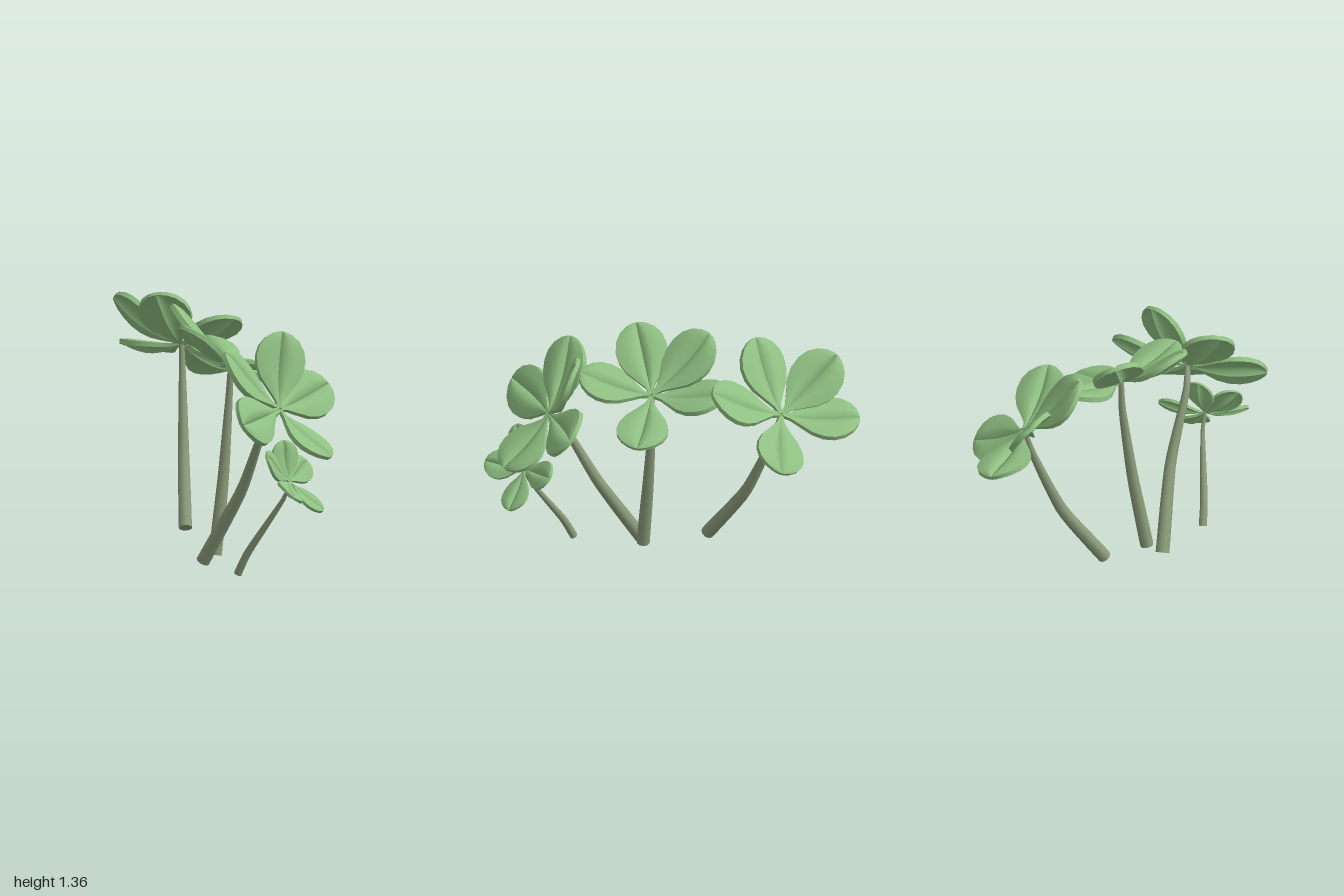
import * as THREE from 'three';
import { toCreasedNormals } from 'three/addons/utils/BufferGeometryUtils.js';

const leafGreen = new THREE.MeshStandardMaterial({ color: 0x8fbf82 });
leafGreen.name = 'leaf green';
const stemGreen = new THREE.MeshStandardMaterial({ color: 0x8c9c7a });
stemGreen.name = 'stem green';

// Leaf outline: [position along the leaf, share of the full half width]
const OUTLINE = [
  [0, 0], [0.02, 0.08], [0.12, 0.15], [0.24, 0.42], [0.38, 0.76], [0.52, 0.95],
  [0.66, 1], [0.79, 0.91], [0.9, 0.68], [0.97, 0.38], [1, 0.12], [1, 0],
];
const ACROSS = [0, 0.12, 0.35, 0.6, 0.82, 1];
const SAG = 0.085;

// One domed half of a leaf; the two halves meet in a sunken midrib
function halfLeaf(side) {
  const pos = [], index = [], n = ACROSS.length * 2;
  const ring = [...ACROSS.map(u => [u, 0]), ...[...ACROSS].reverse().map(u => [u, 1])];
  for (const [t, w] of OUTLINE) {
    const bend = -SAG * Math.sin(Math.PI * t);
    const thick = w === 0 ? 0 : 0.045 + 0.02 * w;
    for (const [u, under] of ring) {
      const dome = w * 0.085 * Math.sin(Math.PI * 0.78 * Math.sqrt(u));
      pos.push(side * u * w, t, bend + dome + thick * (0.4 - under));
    }
  }
  for (let i = 0; i < OUTLINE.length - 1; i++) {
    for (let j = 0; j < n - 1; j++) {
      const a = i * n + j, b = a + 1, c = b + n, d = a + n;
      if (side > 0) index.push(a, b, c, a, c, d);
      else index.push(a, c, b, a, d, c);
    }
  }
  const g = new THREE.BufferGeometry();
  g.setAttribute('position', new THREE.Float32BufferAttribute(pos, 3));
  g.setIndex(index);
  return g;
}

// A leaf from the crown to its tip, facing as the crown does and rolled about its midrib
function makeLeaf(base, tip, facing, roll, halfWidth) {
  const axis = tip.clone().sub(base);
  const length = axis.length();
  axis.normalize();
  const up = facing.clone().addScaledVector(axis, -facing.dot(axis)).normalize();
  up.applyAxisAngle(axis, roll);
  const right = new THREE.Vector3().crossVectors(axis, up);
  const leaf = new THREE.Group();
  leaf.name = 'leaf';
  for (const side of [1, -1]) {
    const g = halfLeaf(side).scale(halfWidth, length, length);
    const half = new THREE.Mesh(toCreasedNormals(g, 0.8), leafGreen);
    half.name = side > 0 ? 'leafHalfA' : 'leafHalfB';
    leaf.add(half);
  }
  leaf.quaternion.setFromRotationMatrix(new THREE.Matrix4().makeBasis(right, axis, up));
  leaf.position.copy(base);
  return leaf;
}

// A bent stem, tapering towards the crown, with a cut lower end
function makeStem(points, radius) {
  const segs = 16, sides = 10;
  const curve = new THREE.CatmullRomCurve3(points, false, 'catmullrom', 0.3);
  const g = new THREE.TubeGeometry(curve, segs, radius, sides, false);
  const p = g.attributes.position, v = new THREE.Vector3();
  for (let i = 0; i < p.count; i++) {
    const t = Math.floor(i / (sides + 1)) / segs;
    const c = curve.getPointAt(t);
    v.fromBufferAttribute(p, i).sub(c).multiplyScalar(1 - 0.61 * t ** 1.6).add(c);
    p.setXYZ(i, v.x, v.y, v.z);
  }
  const stem = new THREE.Group();
  stem.name = 'stem';
  const tube = new THREE.Mesh(g, stemGreen);
  tube.name = 'stemTube';
  const cap = new THREE.Mesh(new THREE.CircleGeometry(radius, sides), stemGreen);
  cap.name = 'stemEnd';
  cap.position.copy(points[0]);
  cap.quaternion.setFromUnitVectors(new THREE.Vector3(0, 0, 1), curve.getTangentAt(0).negate());
  stem.add(tube, cap);
  return stem;
}

// Each sprig: stem radius, crown facing, stem path ending at the crown, leaf tips with optional roll
const SPRIGS = [
  {
    name: 'backSprig', radius: 0.036, facing: [0.5, 0.8, -0.4],
    stem: [[-0.17, 0.14, -0.17], [-0.08, 0.49, -0.395], [-0.02, 0.86, -0.545], [0, 1.04, -0.6]],
    tips: [[-0.14, 0.98, -0.99, -0.37], [-0.28, 1.27, -0.84], [-0.23, 1.35, -0.41, 0.26],
      [0.3, 0.87, -0.66, -0.27], [0.15, 1.22, -0.26, 0.38]],
  },
  {
    name: 'middleSprig', radius: 0.035, facing: [0.45, 0.9, 0],
    stem: [[-0.15, 0.05, 0.17], [-0.085, 0.46, 0.13], [-0.04, 0.86, 0.1], [-0.03, 1.05, 0.1]],
    tips: [[0, 1.12, -0.31, -0.34], [-0.25, 1.33, -0.17], [-0.35, 1.28, 0.25],
      [0.31, 0.93, 0.11], [-0.06, 1.12, 0.49, 0.33]],
  },
  {
    name: 'frontSprig', radius: 0.036, facing: [0.35, 0.5, 0.75],
    stem: [[-0.235, 0.026, 0.2], [-0.1, 0.43, 0.4], [-0.05, 0.78, 0.57], [0.01, 0.89, 0.64]],
    tips: [[0.1, 1.27, 0.47, -0.28], [-0.28, 1.2, 0.58, 0.33], [0.37, 0.97, 0.45, -0.17],
      [0.21, 0.65, 0.84, -0.31], [-0.32, 0.87, 0.9]],
  },
  {
    name: 'smallSprig', radius: 0.021, facing: [0.35, 0.6, 0.6],
    stem: [[-0.19, 0.014, 0.55], [-0.15, 0.14, 0.6], [-0.01, 0.43, 0.735], [0.01, 0.53, 0.775]],
    tips: [[0.18, 0.37, 0.82, -0.22], [-0.08, 0.49, 1], [-0.16, 0.69, 0.85],
      [0, 0.74, 0.71, -0.23], [0.18, 0.6, 0.6]],
  },
];

export function createModel() {
  const model = new THREE.Group();
  model.name = 'leafSprigs';
  for (const s of SPRIGS) {
    const sprig = new THREE.Group();
    sprig.name = s.name;
    const path = s.stem.map(p => new THREE.Vector3(...p));
    const crown = path[path.length - 1];
    const facing = new THREE.Vector3(...s.facing).normalize();
    sprig.add(makeStem(path, s.radius));
    for (const [x, y, z, roll = 0] of s.tips) {
      sprig.add(makeLeaf(crown, new THREE.Vector3(x, y, z), facing, roll, s.radius * 3.9));
    }
    model.add(sprig);
  }
  return model;
}
